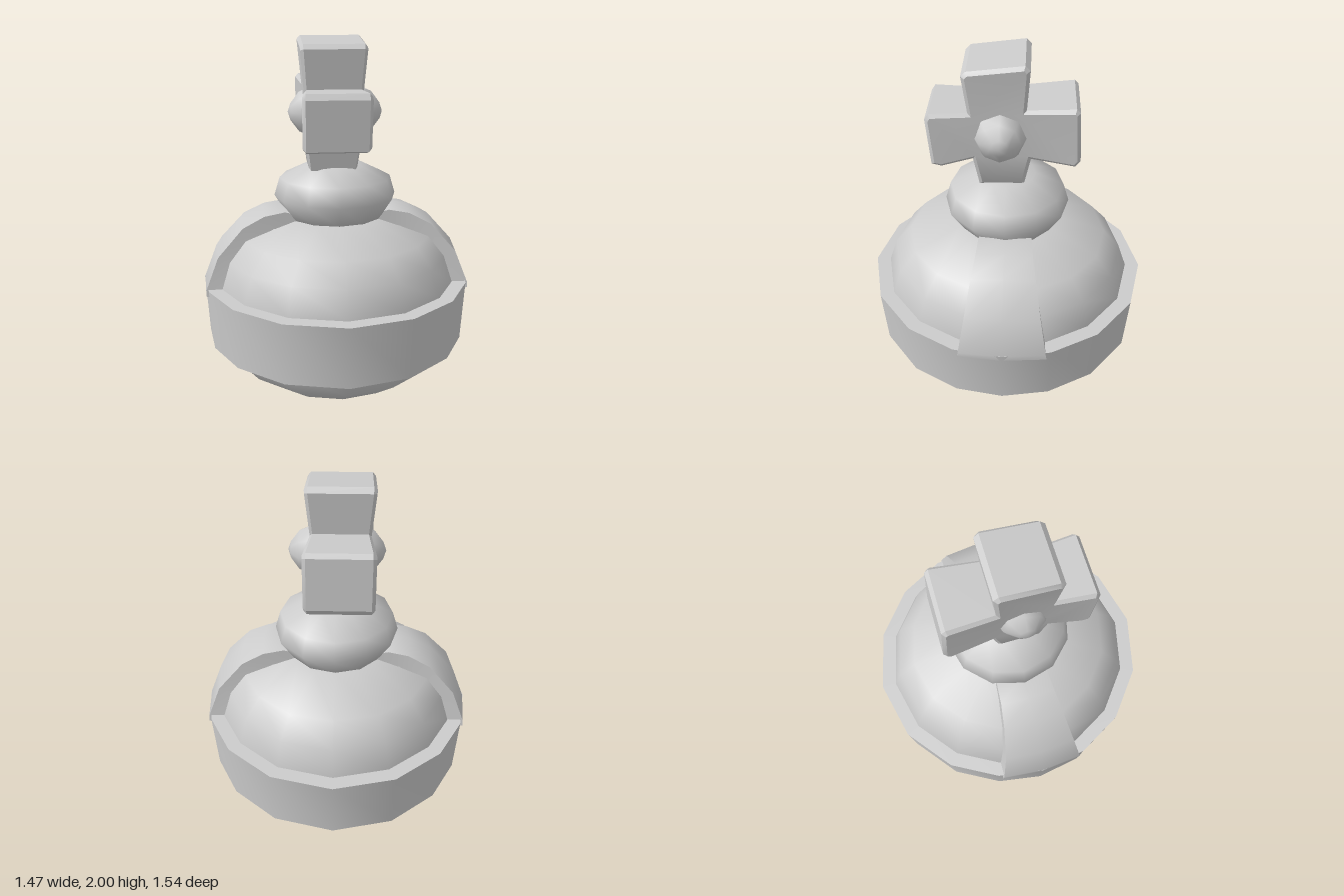
import * as THREE from 'three';
import { toCreasedNormals } from 'three/addons/utils/BufferGeometryUtils.js';

const material = new THREE.MeshStandardMaterial({ color: 0xcccccc });
const vec2 = (list) => list.map(([a, b]) => new THREE.Vector2(a, b));

function add(group, name, geometry, crease = 0.7) {
  const mesh = new THREE.Mesh(toCreasedNormals(geometry, crease), material);
  mesh.name = name;
  group.add(mesh);
  return mesh;
}

// Moves every vertex by a rule
function warp(geometry, rule) {
  const p = geometry.attributes.position;
  const v = new THREE.Vector3();
  for (let i = 0; i < p.count; i++) {
    rule(v.fromBufferAttribute(p, i));
    p.setXYZ(i, v.x, v.y, v.z);
  }
  return geometry;
}

// Sixteen-sided turned form, slightly narrow in x, corners drawn toward the sides
function turned(profile) {
  return warp(new THREE.LatheGeometry(vec2(profile), 16), (v) => {
    const r = Math.hypot(v.x, v.z);
    const t = Math.atan2(v.x, v.z);
    const a = t + 0.08 * Math.sin(2 * t);
    v.x = 0.96 * r * Math.sin(a);
    v.z = r * Math.cos(a);
  });
}

// Crowned strap running from the band up to the knob on the +x side
function strapGeometry() {
  // outer x, outer y, half width
  const path = [[0.735, 0.66, 0.23], [0.735, 0.69, 0.225], [0.665, 0.87, 0.195],
    [0.525, 1.025, 0.165], [0.405, 1.085, 0.148], [0.29, 1.105, 0.14], [0.2, 1.08, 0.135]];
  const positions = [];
  const index = [];
  path.forEach(([x, y, w]) => {
    const section = [[0.85, -w], [0.97, -w], [1, 0], [0.97, w], [0.85, w]];
    section.forEach(([s, z]) => positions.push(x * s, 0.5 + (y - 0.5) * s, z));
  });
  for (let i = 0; i < path.length - 1; i++) {
    for (let j = 0; j < 4; j++) {
      const a = i * 5 + j;
      index.push(a, a + 5, a + 1, a + 1, a + 5, a + 6);
    }
  }
  // closed upper end
  const e = (path.length - 1) * 5;
  for (let j = 1; j < 4; j++) index.push(e, e + j + 1, e + j);
  const geometry = new THREE.BufferGeometry();
  geometry.setAttribute('position', new THREE.Float32BufferAttribute(positions, 3));
  geometry.setIndex(index);
  return geometry;
}

// Flared cross lying in the z-y plane, thicker toward the arm ends
function crossGeometry() {
  const outline = vec2([
    [0.14, 1.31], [0.17, 1.48], [0.33, 1.44], [0.38, 1.455], [0.4, 1.71], [0.38, 1.74],
    [0.19, 1.74], [0.215, 1.94], [0.19, 1.965], [-0.09, 2.0], [-0.115, 1.975], [-0.1, 1.76],
    [-0.34, 1.78], [-0.36, 1.76], [-0.375, 1.49], [-0.35, 1.455], [-0.125, 1.485], [-0.09, 1.31],
  ].reverse());
  const geometry = new THREE.ExtrudeGeometry(new THREE.Shape(outline), {
    depth: 1.8, bevelEnabled: true, bevelThickness: 0.1, bevelSize: 0.018,
    bevelOffset: -0.018, bevelSegments: 1,
  });
  geometry.translate(0, 0, -0.9).rotateY(-Math.PI / 2);
  return warp(geometry, (v) => {
    const reach = Math.max(Math.abs(v.z - 0.03) / 0.36, (v.y - 1.61) / 0.37);
    const half = v.y < 1.4 ? 0.13 : 0.14 + 0.035 * THREE.MathUtils.clamp(reach, 0, 1);
    v.x = v.x * half - 0.022;
  });
}

export function createModel() {
  const group = new THREE.Group();

  // Orb
  add(group, 'orbBody', turned([[0, 0.005], [0.24, 0.03], [0.45, 0.125], [0.61, 0.24], [0.67, 0.36],
    [0.7, 0.52], [0.69, 0.69], [0.64, 0.83], [0.545, 0.94], [0.28, 1.035], [0, 1.05]]), 0.9);
  add(group, 'equatorBand', turned([[0.62, 0.36], [0.75, 0.36], [0.768, 0.69], [0.64, 0.69]]));

  // Straps on both sides
  for (const side of [0, 1]) {
    const strap = add(group, side ? 'rightStrap' : 'leftStrap', strapGeometry());
    strap.rotation.y = side * Math.PI;
  }

  // Knob under the cross
  const knob = new THREE.LatheGeometry(vec2([[0, 1.02], [0.26, 1.03], [0.335, 1.15], [0.305, 1.25],
    [0.15, 1.325], [0, 1.34]]), 12);
  add(group, 'knob', knob, 1.1);

  // Cross with a boss on each broad face
  add(group, 'cross', crossGeometry(), 0.5);
  for (const side of [-1, 1]) {
    const boss = new THREE.LatheGeometry(vec2([[0.14, 0.11], [0.105, 0.19], [0.045, 0.235], [0, 0.25]]), 8);
    boss.rotateZ(-side * Math.PI / 2).translate(side < 0 ? -0.005 : 0, 1.61, 0.03);
    add(group, side < 0 ? 'rightBoss' : 'leftBoss', boss, 1.2);
  }
  return group;
}
